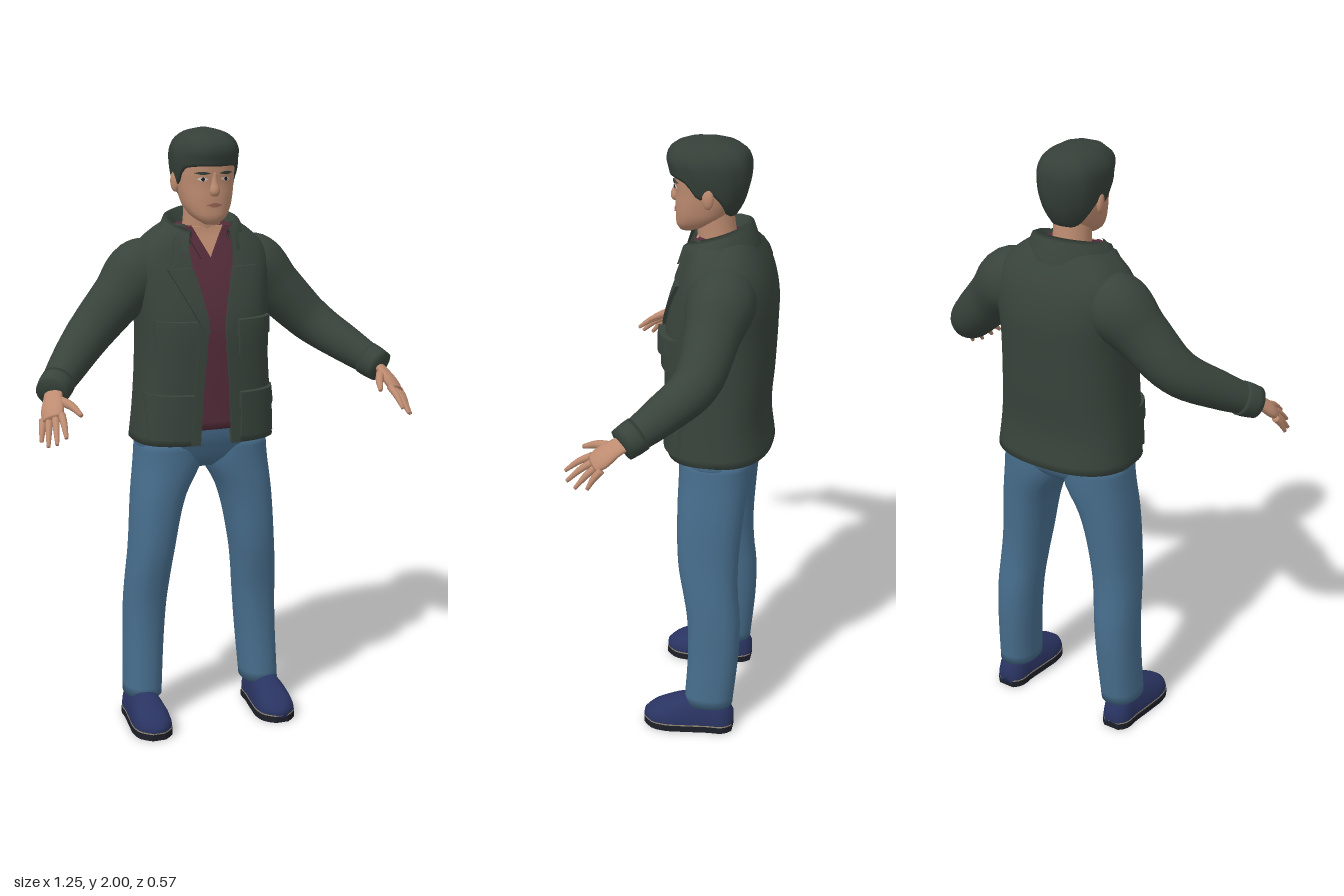
import * as THREE from 'three';

const paint = (name, color, side = THREE.FrontSide) => {
  const m = new THREE.MeshStandardMaterial({ color, side });
  m.name = name;
  return m;
};
const lerp = THREE.MathUtils.lerp;
const spow = (v, p) => Math.sign(v) * Math.abs(v) ** p;
const steps = (a, b, n) => Array.from({ length: n + 1 }, (_, i) => lerp(a, b, i / n));

// Smooth lookup in rows of [key, value, value...]
function table(rows) {
  const size = rows[0].length - 1;
  const f = new THREE.CubicInterpolant(rows.map(r => r[0]), rows.flatMap(r => r.slice(1)), size, new Float32Array(size));
  return k => [...f.evaluate(k)];
}

// Skin stretched over rings of equal length
function skinOver(rings, { wrap = true, capStart = false, capEnd = false } = {}) {
  const n = rings[0].length, pos = rings.flat().flatMap(p => [p.x, p.y, p.z]), idx = [];
  for (let i = 0; i < rings.length - 1; i++)
    for (let j = 0; j < (wrap ? n : n - 1); j++) {
      const k = (j + 1) % n, a = i * n + j, b = i * n + k;
      idx.push(a, b, b + n, a, b + n, a + n);
    }
  const cap = (ring, start, flip) => {
    const c = new THREE.Vector3();
    ring.forEach(p => c.addScaledVector(p, 1 / n));
    const m = pos.length / 3;
    pos.push(c.x, c.y, c.z);
    for (let j = 0; j < n; j++) {
      const a = start + j, b = start + (j + 1) % n;
      flip ? idx.push(m, b, a) : idx.push(m, a, b);
    }
  };
  if (capStart) cap(rings[0], 0, true);
  if (capEnd) cap(rings[rings.length - 1], (rings.length - 1) * n, false);
  const g = new THREE.BufferGeometry();
  g.setAttribute('position', new THREE.Float32BufferAttribute(pos, 3));
  g.setIndex(idx);
  g.computeVertexNormals();
  return g;
}

// Upright body from rows of [y, centre x, half width, front z, back z]
function body(rows, nf = 2.3, nb = 2.3) {
  const at = table(rows);
  const point = (a, y, grow = 0) => {
    const [cx, hw, zf, zb] = at(y), s = Math.sin(a), c = Math.cos(a), p = 2 / (c > 0 ? nf : nb);
    return new THREE.Vector3(cx + spow(s, p) * (hw + grow), y, (zf + zb) / 2 + spow(c, p) * ((zf - zb) / 2 + grow));
  };
  const front = (x, y) => {
    const [cx, hw, zf, zb] = at(y), q = Math.min(1, Math.abs(x - cx) / hw);
    return (zf + zb) / 2 + (zf - zb) / 2 * (1 - q ** nf) ** (1 / nf);
  };
  const loft = (ys, grow = 0, opts = { capStart: true, capEnd: true }) =>
    skinOver(ys.map(y => steps(0, Math.PI * 2, 36).slice(0, 36).map(a => point(a, y, grow))), opts);
  return { at, point, front, loft, nf };
}

// Tube along [x, y, z, radius] points; flat squashes it along ref
function limb(pts, { ref = [0, 1, 0], flat = 1, n = 16, along = 16 } = {}) {
  const curve = new THREE.CatmullRomCurve3(pts.map(p => new THREE.Vector3(...p)));
  const radius = table(pts.map((p, i) => [i / (pts.length - 1), p[3]]));
  const up = new THREE.Vector3(...ref);
  return skinOver(steps(0, 1, along).map(t => {
    const c = curve.getPoint(t), T = curve.getTangent(t), r = radius(t)[0];
    const e2 = up.clone().addScaledVector(T, -T.dot(up)).normalize();
    const e1 = T.clone().cross(e2);
    return steps(0, Math.PI * 2, n).slice(0, n).map(a =>
      c.clone().addScaledVector(e1, r * Math.sin(a)).addScaledVector(e2, r * flat * Math.cos(a)));
  }), { capStart: true, capEnd: true });
}

// Plate laid on the front of a body; map(u, v) gives [x, y]
function panel(on, map, thick, off = 0) {
  const g = new THREE.BoxGeometry(1, 1, 1, 10, 8, 1), p = g.attributes.position;
  for (let i = 0; i < p.count; i++) {
    const [x, y] = map(p.getX(i) + 0.5, p.getY(i) + 0.5);
    p.setXYZ(i, x, y, on.front(x, y) + off + (p.getZ(i) + 0.5) * thick);
  }
  g.computeVertexNormals();
  return g;
}
const rect = (x0, x1, y0, y1) => (u, v) => [lerp(x0, x1, u), lerp(y0, y1, v)];
const lens = (x, y, w, h) => (u, v) => [x + (u - 0.5) * w, y + (v - 0.5) * h * Math.max(0.15, Math.sin(Math.PI * u))];

function mirrored(geo) {
  const g = geo.clone().scale(-1, 1, 1);
  if (g.index) {
    const a = g.index.array;
    for (let i = 0; i < a.length; i += 3) [a[i], a[i + 1]] = [a[i + 1], a[i]];
  } else {
    const a = g.attributes.position.array;
    for (let i = 0; i < a.length; i += 9)
      for (let k = 0; k < 3; k++) [a[i + k], a[i + 3 + k]] = [a[i + 3 + k], a[i + k]];
  }
  g.computeVertexNormals();
  return g;
}

export function createModel() {
  const model = new THREE.Group();
  model.name = 'standingMan';
  const jacketMat = paint('jacket green', 0x38433b, THREE.DoubleSide), hairMat = paint('hair', 0x353f38, THREE.DoubleSide);
  const shirtMat = paint('shirt maroon', 0x552d3a), jeansMat = paint('denim blue', 0x476d8c);
  const skinMat = paint('skin', 0xbd8b70), lipMat = paint('lips', 0x9a6455), eyeMat = paint('eye white', 0xcfc8c0);
  const shoeMat = paint('shoe navy', 0x2a3462), soleMat = paint('sole black', 0x1d1f28), weltMat = paint('welt tan', 0x8f8470);
  const add = (name, geo, mat) => {
    const m = new THREE.Mesh(geo, mat);
    m.name = name;
    model.add(m);
  };
  const pair = (name, geo, mat) => { add(name + 'Left', geo, mat); add(name + 'Right', mirrored(geo), mat); };

  // Jacket shell, open down the front, with a turned-in hem
  const torso = body([[0.985, 0, 0.238, 0.06, -0.276], [1.1, 0, 0.228, 0.063, -0.263], [1.25, 0, 0.217, 0.068, -0.273],
    [1.4, 0, 0.215, 0.068, -0.28], [1.5, 0, 0.222, 0.045, -0.28], [1.58, 0, 0.225, 0.018, -0.262],
    [1.63, 0, 0.203, 0, -0.24], [1.67, 0, 0.16, -0.015, -0.215], [1.7, 0, 0.115, -0.02, -0.195]], 3, 2.4);
  const opening = table([[0.98, 0.055], [1.2, 0.043], [1.38, 0.033], [1.5, 0.055], [1.6, 0.078], [1.7, 0.075]]);
  const shellRing = (y, grow) => {
    const a0 = Math.asin((opening(y)[0] / (torso.at(y)[1] + grow)) ** (torso.nf / 2));
    return steps(a0, Math.PI * 2 - a0, 56).map(a => torso.point(a, y, grow));
  };
  add('jacketShell', skinOver([shellRing(1.04, -0.02), shellRing(0.99, -0.015),
    ...steps(0.988, 1.7, 30).map(y => shellRing(y, 0))], { wrap: false }), jacketMat);
  pair('jacketFrontEdge', panel(torso, (u, v) => {
    const y = lerp(0.99, 1.4, v);
    return [opening(y)[0] + u * 0.03, y];
  }, 0.014, -0.008), jacketMat);

  // Collar wrapped round the neck, then lapels
  const collarRow = (hw, rz, drop) => steps(0.62, Math.PI * 2 - 0.62, 36).map(a => {
    const top = lerp(1.66, 1.74, ((1 - Math.cos(a)) / 2) ** 0.6);
    return new THREE.Vector3(hw * Math.sin(a), top - drop(Math.abs(Math.cos(a))), -0.085 + rz * Math.cos(a));
  });
  add('collar', skinOver([collarRow(0.142, 0.138, c => 0.035 + 0.04 * c), collarRow(0.125, 0.115, () => 0.008),
    collarRow(0.105, 0.097, () => 0), collarRow(0.092, 0.085, () => 0.06)], { wrap: false }), jacketMat);
  const strip = (y0, y1, outer) => (u, v) => {
    const y = lerp(y0, y1, v), xi = opening(y)[0] - 0.004;
    return [lerp(xi, outer(v), u), y];
  };
  pair('lapel', panel(torso, strip(1.36, 1.565, v => lerp(0.042, 0.15, v)), 0.016, -0.004), jacketMat);
  pair('collarTip', panel(torso, strip(1.575, 1.665, v => lerp(0.135, 0.115, v)), 0.02, -0.004), jacketMat);

  // Patch pockets with flaps
  [['chest', 0.075, 0.19, 1.285, 1.395], ['hip', 0.085, 0.215, 1.01, 1.155]].forEach(([n, x0, x1, y0, y1]) => {
    pair(n + 'Pocket', panel(torso, rect(x0, x1, y0, y1), 0.018, -0.005), jacketMat);
    pair(n + 'PocketFlap', panel(torso, (u, v) =>
      [lerp(x0 - 0.006, x1 + 0.004, u), lerp(y1 - 0.05 - 0.01 * Math.sin(Math.PI * u), y1 + 0.006, v)], 0.028, -0.005), jacketMat);
  });

  // Sleeves and cuffs
  pair('sleeve', limb([[0.12, 1.565, -0.13, 0.085], [0.195, 1.535, -0.13, 0.108], [0.275, 1.46, -0.115, 0.088],
    [0.385, 1.35, -0.085, 0.074], [0.48, 1.275, 0.01, 0.061], [0.555, 1.218, 0.1, 0.046]], { n: 24, along: 30 }), jacketMat);
  pair('cuff', limb([[0.525, 1.24, 0.063, 0.055], [0.54, 1.229, 0.082, 0.055], [0.56, 1.214, 0.108, 0.051]], { n: 24, along: 4 }), jacketMat);

  // Shirt, with bare skin in the neck opening
  add('shirt', torso.loft(steps(1.035, 1.69, 24), -0.014), shirtMat);
  add('throat', panel(torso, (u, v) => [(u - 0.5) * 0.105 * Math.max(0.03, v), lerp(1.595, 1.69, v)], 0.008, -0.016), skinMat);
  pair('shirtCollar', panel(torso, (u, v) => [0.0525 * v + u * 0.032, lerp(1.59, 1.69, v)], 0.014, -0.014), shirtMat);

  // Jeans
  const hips = body([[0.89, 0, 0.09, -0.04, -0.16], [0.92, 0, 0.17, -0.005, -0.2], [0.96, 0, 0.222, 0.014, -0.22],
    [1.0, 0, 0.222, 0.03, -0.225], [1.06, 0, 0.21, 0.04, -0.22]], 2.6, 2.4);
  add('jeansSeat', hips.loft(steps(0.89, 1.06, 10)), jeansMat);
  const leg = body([[0.095, 0.212, 0.063, -0.02, -0.182], [0.3, 0.202, 0.067, -0.03, -0.2], [0.42, 0.196, 0.07, -0.025, -0.2],
    [0.5, 0.19, 0.072, -0.012, -0.192], [0.6, 0.179, 0.074, 0.006, -0.19], [0.8, 0.15, 0.09, 0.014, -0.205],
    [0.91, 0.116, 0.112, 0.014, -0.218], [0.99, 0.112, 0.11, 0.014, -0.22]]);
  pair('jeansLeg', leg.loft(steps(0.095, 0.99, 28)), jeansMat);

  // Shoes: rows of [z, half width, top height]
  const last = table([[-0.185, 0.026, 0.07], [-0.165, 0.044, 0.105], [-0.1, 0.051, 0.125], [-0.02, 0.06, 0.118],
    [0.04, 0.064, 0.092], [0.09, 0.05, 0.066], [0.116, 0.02, 0.045]]);
  const zs = steps(-0.185, 0.116, 20);
  pair('shoe', skinOver(zs.map(z => {
    const [hw, h] = last(z);
    return steps(0, Math.PI * 2, 24).slice(0, 24).map(a => new THREE.Vector3(
      0.22 - hw * spow(Math.sin(a), 0.8), Math.max(0.012, 0.03 + (h - 0.03) * Math.cos(a)), z));
  }), { capStart: true, capEnd: true }), shoeMat);
  const outline = (grow, y0, y1) => {
    const edge = s => zs.map(z => new THREE.Vector2(0.22 + s * (last(z)[0] + grow), z));
    return new THREE.ExtrudeGeometry(new THREE.Shape([...edge(1), ...edge(-1).reverse()]),
      { depth: y1 - y0, bevelEnabled: false }).rotateX(Math.PI / 2).translate(0, y1, 0);
  };
  pair('sole', outline(0.002, 0, 0.022), soleMat);
  pair('shoeWelt', outline(0.001, 0.022, 0.026), weltMat);

  // Hands
  pair('palm', limb([[0.545, 1.226, 0.088, 0.032], [0.56, 1.205, 0.125, 0.033], [0.572, 1.175, 0.165, 0.04], [0.578, 1.153, 0.192, 0.034]],
    { ref: [0.041, 0.051, 0.025], flat: 0.45 }), skinMat);
  const tips = [[0.56, 1.115, 0.282], [0.587, 1.094, 0.272], [0.607, 1.082, 0.243], [0.618, 1.088, 0.203]];
  tips.forEach((tip, i) => {
    const k = i / 3, base = [lerp(0.552, 0.602, k), lerp(1.168, 1.147, k), lerp(0.2, 0.162, k)];
    const mid = base.map((b, j) => (b + tip[j]) / 2 + (j === 1 ? 0.006 : 0));
    pair('finger' + (i + 1), limb([[...base, 0.012], [...mid, 0.0105], [...tip, 0.006]], { n: 10, along: 8 }), skinMat);
  });
  pair('thumb', limb([[0.548, 1.2, 0.135, 0.016], [0.518, 1.19, 0.19, 0.013], [0.5, 1.17, 0.238, 0.007]], { n: 10, along: 8 }), skinMat);

  // Neck and head
  add('neck', limb([[0, 1.6, -0.1, 0.07], [0, 1.7, -0.085, 0.061], [0, 1.8, -0.075, 0.06]], { ref: [0, 0, 1], n: 24 }), skinMat);
  const head = body([[1.702, 0, 0.022, 0.03, -0.015], [1.72, 0, 0.05, 0.041, -0.06], [1.75, 0, 0.072, 0.043, -0.11],
    [1.79, 0, 0.084, 0.044, -0.14], [1.83, 0, 0.09, 0.043, -0.155], [1.87, 0, 0.093, 0.047, -0.165],
    [1.92, 0, 0.092, 0.045, -0.17], [1.96, 0, 0.075, 0.02, -0.14]]);
  add('head', head.loft(steps(1.702, 1.96, 24)), skinMat);
  add('nose', limb([[0, 1.797, 0.04, 0.013], [0, 1.81, 0.044, 0.017], [0, 1.835, 0.042, 0.011], [0, 1.868, 0.04, 0.007]], { ref: [0, 0, 1] }), skinMat);
  add('mouth', panel(head, lens(0, 1.765, 0.05, 0.014), 0.005, -0.001), lipMat);
  pair('eye', panel(head, lens(0.038, 1.847, 0.032, 0.013), 0.003, -0.001), eyeMat);
  pair('iris', panel(head, lens(0.038, 1.847, 0.012, 0.013), 0.004, 0), soleMat);
  pair('eyebrow', panel(head, lens(0.039, 1.866, 0.046, 0.01), 0.006, -0.001), hairMat);
  pair('ear', new THREE.SphereGeometry(1, 14, 10).scale(0.012, 0.034, 0.02).rotateY(-0.3).translate(0.094, 1.832, -0.07), skinMat);

  // Hair: a cap whose lower edge follows the hairline
  const hair = body([[1.76, 0, 0.066, 0.03, -0.147], [1.8, 0, 0.086, 0.04, -0.17], [1.85, 0, 0.099, 0.052, -0.186],
    [1.9, 0, 0.105, 0.064, -0.192], [1.94, 0, 0.102, 0.07, -0.188], [1.97, 0, 0.083, 0.052, -0.168],
    [1.99, 0, 0.052, 0.012, -0.125], [2.0, 0, 0.012, -0.045, -0.075]]);
  const hairline = table([[0, 1.888], [0.7, 1.886], [1.1, 1.872], [1.4, 1.825], [1.65, 1.845], [1.95, 1.81], [2.3, 1.772], [3.15, 1.762]]);
  const hairRing = (t, grow) => steps(0, Math.PI * 2, 48).slice(0, 48).map(a => {
    const low = hairline(Math.min(a, Math.PI * 2 - a))[0];
    const lock = 0.0025 * Math.sin(a * 9 + t * 5) * Math.sin(Math.PI * t);
    return hair.point(a, lerp(low, 2, 1 - (1 - t) ** 1.5), grow + lock);
  });
  add('hair', skinOver([hairRing(0, -0.022), ...steps(0, 1, 18).map(t => hairRing(t, 0))], { capEnd: true }), hairMat);
  return model;
}
